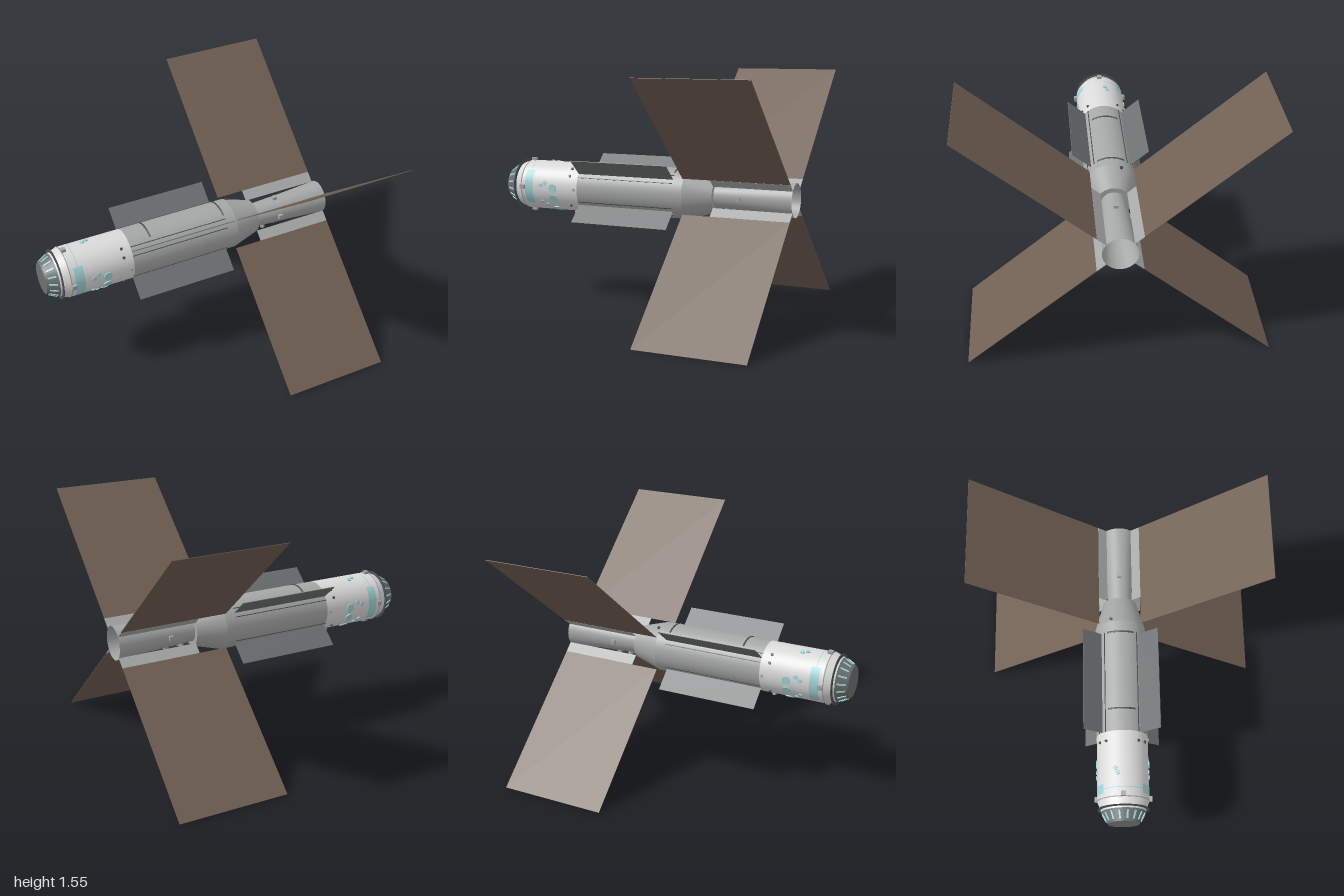
import * as THREE from 'three';

const mat = (name, color, side = THREE.FrontSide) => {
  const m = new THREE.MeshStandardMaterial({ color, side });
  m.name = name;
  return m;
};

export function createModel() {
  const white = mat('hull white', 0xdadada);
  const grey = mat('hull grey', 0xa6a7a7);
  const bellGrey = mat('open tail grey', 0xa6a7a7, THREE.DoubleSide);
  const slate = mat('fin slate', 0x6c7070);
  const dark = mat('dark fittings', 0x4c5052);
  const brown = mat('panel brown', 0x705f52);
  const cyan = mat('pale cyan', 0x9fd2d4);

  const model = new THREE.Group();
  model.name = 'spaceStation';
  const craft = new THREE.Group();
  craft.name = 'craft';
  craft.position.y = 0.775;
  model.add(craft);

  const R = 0.163;
  const rad = THREE.MathUtils.degToRad;

  // Surface of revolution about the x axis; points are [x, radius]
  const turn = (name, points, material, start = 0, sweep = Math.PI * 2) => {
    const geo = new THREE.LatheGeometry(points.map(([x, r]) => new THREE.Vector2(r, x)), 48, start, sweep);
    geo.rotateZ(-Math.PI / 2);
    const mesh = new THREE.Mesh(geo, material);
    mesh.name = name;
    craft.add(mesh);
    return mesh;
  };

  // Place a geometry at x and radius r; deg goes from +y (0) towards +z (90)
  const around = (name, geo, material, x, r, deg, tilt = 0) => {
    const pivot = new THREE.Group();
    pivot.name = name;
    pivot.rotation.x = rad(deg);
    const mesh = new THREE.Mesh(geo, material);
    mesh.name = name;
    mesh.position.set(x, r, 0);
    mesh.rotation.z = tilt;
    pivot.add(mesh);
    craft.add(pivot);
  };
  const box = (x, y, z) => new THREE.BoxGeometry(x, y, z);
  const disc = (r, h) => new THREE.CylinderGeometry(r, r, h, 20);

  // Hull
  turn('noseFace', [[-1, 0], [-1, 0.1]], slate);
  turn('noseCone', [[-1, 0.1], [-0.925, 0.14]], slate);
  turn('shoulder', [[-0.925, 0.14], [-0.86, R]], white);
  turn('forwardHull', [[-0.86, R], [-0.44, R]], white);
  turn('aftHull', [[-0.44, R], [0.3, R]], grey);
  turn('aftCone', [[0.3, R], [0.485, 0.108]], grey);
  turn('aftConeCap', [[0.485, 0.108], [0.485, 0]], grey);
  turn('tailBell', [[0.485, 0.078], [0.75, 0.091], [1, 0.108]], bellGrey);
  turn('tailFloor', [[0.5, 0.077], [0.5, 0]], grey);

  // Thin docking ring and hull seams
  turn('noseRing', [[-0.915, 0.14], [-0.915, R], [-0.908, R], [-0.908, 0.14]], dark);
  turn('hullSeam', [[-0.862, R - 0.002], [-0.862, R + 0.002], [-0.856, R + 0.002], [-0.856, R - 0.002]], grey);

  // Slats on the nose cone
  const slope = Math.atan2(0.04, 0.075);
  for (let i = 0; i < 16; i++) {
    around('noseSlat', box(0.055, 0.008, 0.011), cyan, -0.961, 0.122, i * 22.5 + 11, slope);
  }

  // Painted bands on both flanks, joined by a thin stripe
  const band = (x0, x1) => [[x0, R + 0.001], [x1, R + 0.001]];
  const arc = rad(84);
  turn('flankBandFront', band(-0.83, -0.77), cyan, -arc / 2, arc);
  turn('flankBandBack', band(-0.83, -0.77), cyan, Math.PI - arc / 2, arc);
  turn('thinStripe', band(-0.803, -0.798), cyan);

  // Sensor blocks at the four quarters
  for (const deg of [0, 90, 180, 270]) {
    around('noseSensor', box(0.03, 0.03, 0.03), grey, -0.845, 0.166, deg);
    around('tailSensor', box(0.028, 0.022, 0.028), grey, 0.655, 0.093, deg);
  }
  for (const deg of [165, 195]) {
    around('bellySensor', disc(0.015, 0.03), grey, 0.56, 0.09, deg);
    around('bellyLamp', disc(0.012, 0.03), grey, -0.5, R, deg);
  }

  // Round windows and small fittings, mirrored front to back
  for (const s of [1, -1]) {
    for (const deg of [90, 115, 150]) {
      around('window', disc(0.028, 0.009), cyan, -0.62, R, s * deg);
    }
    for (const [x, deg] of [[-0.68, 79], [-0.71, 85], [-0.71, 126], [-0.68, 135]]) {
      around('smallWindow', disc(0.014, 0.012), cyan, x, R, s * deg);
    }
    for (const deg of [38, 58, 132]) {
      around('fitting', disc(0.009, 0.014), dark, -0.5, R, s * deg);
    }
    around('fitting', box(0.016, 0.012, 0.016), grey, -0.46, R, s * 90);
  }
  around('topWindow', disc(0.014, 0.012), cyan, -0.71, R, -11);
  around('topWindow', disc(0.014, 0.012), cyan, -0.68, R, -16);
  around('topFitting', disc(0.01, 0.018), dark, 0.32, 0.158, -22);

  // Curved handrails across the top
  for (const x of [-0.295, 0.225]) {
    turn('topHandrail', [[x - 0.005, R], [x - 0.005, R + 0.004], [x + 0.005, R + 0.004], [x + 0.005, R]],
      dark, Math.PI * 1.5 - rad(31), rad(62));
  }

  // Four diagonal sets of fins, hinge rails, struts and large panels
  for (const deg of [50, 130, 230, 310]) {
    around('radiatorFin', box(0.67, 0.157, 0.004), slate, -0.105, 0.2355, deg);
    for (const side of [-10.5, 10.5]) {
      around('hingeRail', box(0.67, 0.006, 0.005), dark, -0.105, R, deg + side);
    }
    around('panelStrut', box(0.515, 0.072, 0.004), grey, 0.7425, 0.144, deg);
    around('solarPanel', box(0.7, 1.023, 0.003), brown, 0.65, 0.6915, deg);
  }

  return model;
}
